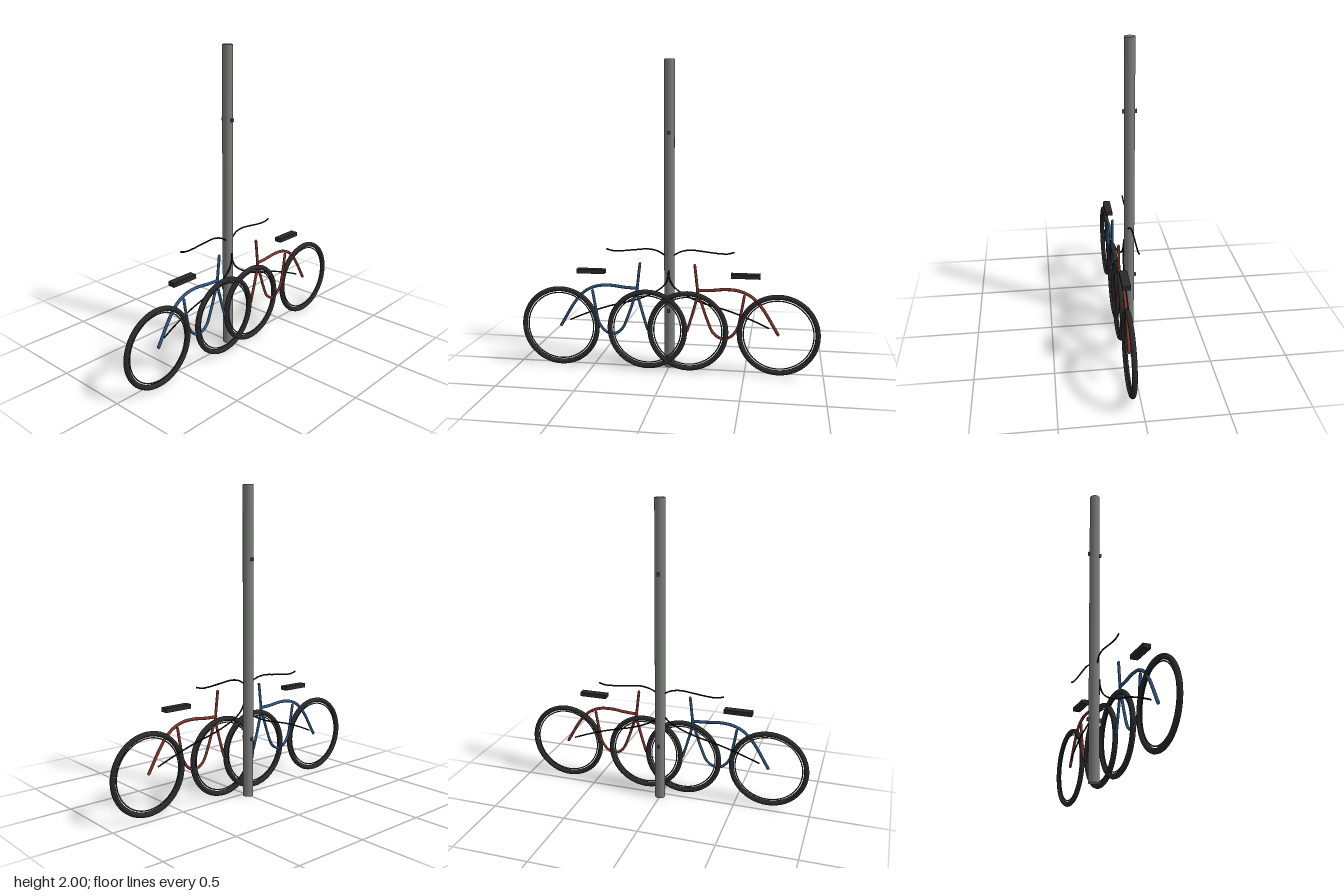
import * as THREE from 'three';

const material = (name, color) => {
  const m = new THREE.MeshStandardMaterial({ color });
  m.name = name;
  return m;
};

export function createModel() {
  const steel = material('grey steel', 0x7c7e7c);
  const bolt = material('dark bolt', 0x505250);
  const rubber = material('black rubber', 0x2a2a2a);
  const rimMetal = material('dark rim', 0x3a3a3a);
  const cableBlack = material('cable black', 0x161616);
  const blue = material('blue paint', 0x2f5680);
  const red = material('red paint', 0x82352b);

  const model = new THREE.Group();
  model.name = 'bikesAtPole';
  const add = (parent, name, geometry, mat, x = 0, y = 0, z = 0) => {
    const mesh = new THREE.Mesh(geometry, mat);
    mesh.name = name;
    mesh.position.set(x, y, z);
    parent.add(mesh);
    return mesh;
  };

  // Smooth round tube with closed ends, mirrored by side (-1 or 1)
  const tube = (parent, name, points, side, radius, mat) => {
    const pts = points.map(([x, y, z]) => new THREE.Vector3(x * side, y, z));
    const curve = new THREE.CatmullRomCurve3(pts);
    add(parent, name, new THREE.TubeGeometry(curve, 40, radius, 10), mat);
    for (const p of [pts[0], pts[pts.length - 1]]) {
      add(parent, name + 'End', new THREE.SphereGeometry(radius, 10, 6), mat, p.x, p.y, p.z);
    }
  };

  // Pole with two through bolts
  const poleZ = -0.035;
  add(model, 'pole', new THREE.CylinderGeometry(0.034, 0.034, 2, 24), steel, 0, 1, poleZ);
  for (const y of [0.385, 1.54]) {
    add(model, 'bolt', new THREE.BoxGeometry(0.015, 0.022, 0.092), bolt, 0, y, poleZ);
  }

  const bikeZ = 0.056;
  const flat = (points) => points.map(([x, y]) => [x, y, bikeZ]);

  const topTube = flat([[0.71, 0.275], [0.61, 0.44], [0.545, 0.51], [0.47, 0.546],
    [0.38, 0.555], [0.28, 0.545], [0.195, 0.541]]);
  const fork = flat([[0.178, 0.705], [0.19, 0.6], [0.196, 0.52], [0.165, 0.39], [0.13, 0.272]]);
  const downTube = flat([[0.495, 0.515], [0.475, 0.4], [0.45, 0.295], [0.4, 0.24],
    [0.35, 0.233], [0.3, 0.265], [0.26, 0.35], [0.225, 0.45], [0.196, 0.535]]);
  const handlebar = [[0, 0.725, -0.025], [0.035, 0.752, -0.026], [0.08, 0.775, -0.033],
    [0.14, 0.785, -0.036], [0.22, 0.778, -0.038], [0.32, 0.767, -0.04], [0.38, 0.766, -0.041],
    [0.42, 0.776, -0.041]];
  const lockCable = [[0, 0.65, 0], [0.004, 0.605, 0.003], [0.03, 0.555, 0.007],
    [0.08, 0.515, 0.012], [0.2, 0.46, 0.02], [0.4, 0.405, 0.025], [0.55, 0.352, 0.033],
    [0.65, 0.31, 0.042]];

  // Two mirrored bikes, one on each side of the pole
  for (const [side, paint, label] of [[-1, blue, 'blueBike'], [1, red, 'redBike']]) {
    const bike = new THREE.Group();
    bike.name = label;
    model.add(bike);

    // Wheels
    for (const x of [0.133, 0.713]) {
      add(bike, 'tyre', new THREE.TorusGeometry(0.247, 0.0165, 12, 56), rubber, x * side, 0.271, bikeZ);
      add(bike, 'rim', new THREE.TorusGeometry(0.222, 0.004, 8, 56), rimMetal, x * side, 0.271, bikeZ);
    }

    // Frame
    tube(bike, 'topTube', topTube, side, 0.01, paint);
    tube(bike, 'fork', fork, side, 0.009, paint);
    tube(bike, 'downTube', downTube, side, 0.009, paint);

    // Saddle, handlebar and lock cable
    add(bike, 'saddle', new THREE.BoxGeometry(0.185, 0.028, 0.05), rubber, 0.502 * side, 0.646, bikeZ);
    tube(bike, 'handlebar', handlebar, side, 0.005, cableBlack);
    tube(bike, 'lockCable', lockCable, side, 0.005, cableBlack);
  }
  return model;
}
